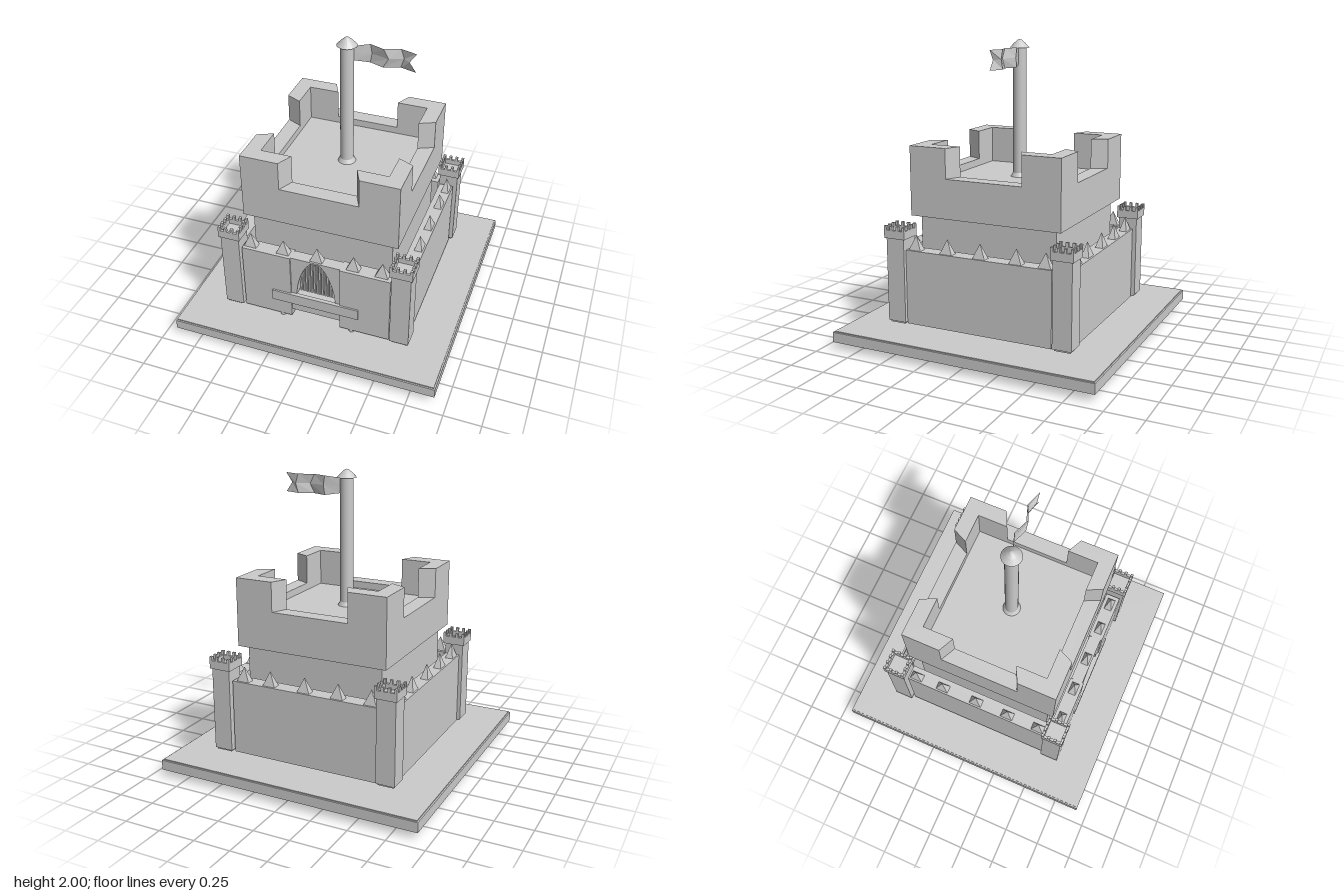
import * as THREE from 'three';

const grey = new THREE.MeshStandardMaterial({ color: 0xcccccc, flatShading: true });
const thin = new THREE.MeshStandardMaterial({ color: 0xcccccc, flatShading: true, side: THREE.DoubleSide });
const smooth = new THREE.MeshStandardMaterial({ color: 0xcccccc });
const green = new THREE.MeshStandardMaterial({ color: 0x4f9a35, flatShading: true });

export function createModel() {
  const root = new THREE.Group();

  const add = (name, geo, mat = grey, parent = root) => {
    const mesh = new THREE.Mesh(geo, mat);
    mesh.name = name;
    parent.add(mesh);
    return mesh;
  };
  // Box given by its lower and upper corners
  const box = (name, a, b, mat = grey, parent = root) => {
    const geo = new THREE.BoxGeometry(b[0] - a[0], b[1] - a[1], b[2] - a[2]);
    geo.translate((a[0] + b[0]) / 2, (a[1] + b[1]) / 2, (a[2] + b[2]) / 2);
    return add(name, geo, mat, parent);
  };
  const polygon = (pts) => new THREE.Shape(pts.map((p) => new THREE.Vector2(...p)));
  const square = (r) => [[-r, -r], [r, -r], [r, r], [-r, r]];
  // Plan shape raised from y0 to y1
  const raise = (shape, y0, y1) =>
    new THREE.ExtrudeGeometry(shape, { depth: y1 - y0, bevelEnabled: false, curveSegments: 12 })
      .rotateX(-Math.PI / 2).translate(0, y0, 0);
  const ring = (outer, inner, y0, y1) => {
    const s = polygon(square(outer));
    s.holes.push(polygon(square(inner)));
    return raise(s, y0, y1);
  };

  // Base: thin tray open underneath, with a square hole in the middle
  add('baseTop', ring(0.91, 0.21, 0.11, 0.125));
  add('baseRim', ring(0.92, 0.905, 0.05, 0.118));
  add('baseCollar', ring(0.25, 0.21, 0.115, 0.16));
  for (const x of [-0.25, 0.25]) for (const z of [0.605, -0.355])
    add('peg', new THREE.CylinderGeometry(0.02, 0.02, 0.11, 16), smooth).position.set(x, 0.095, z);

  // Small mechanism under the hole
  const works = new THREE.Group();
  works.name = 'mechanism';
  root.add(works);
  add('mechanismDisc', new THREE.CylinderGeometry(0.16, 0.17, 0.015, 20), grey, works).position.set(0, 0.043, 0);
  box('mechanismBlock', [-0.12, 0.015, 0.02], [0.06, 0.04, 0.12], grey, works);
  box('mechanismFoot', [-0.19, 0, 0.03], [-0.16, 0.04, 0.07], grey, works);
  const board = polygon([[-0.2, 0.06], [0.2, 0.06], [0.2, 0.12], [0.02, 0.12], [0.02, 0.2], [-0.2, 0.2]]);
  add('circuitBoard', raise(board, 0.017, 0.033), green, works);

  // Keep: body and wider upper storey with a sunken roof
  box('keepBody', [-0.485, 0.15, -0.485], [0.485, 0.87, 0.485]);
  box('keepRoof', [-0.432, 0.867, -0.432], [0.432, 1.08, 0.432]);
  add('parapet', ring(0.535, 0.43, 0.865, 1.13));
  // Corner merlons with flared sides
  const corner = polygon([[0.535, 0.535], [0.27, 0.535], [0.22, 0.43], [0.43, 0.43], [0.43, 0.22], [0.535, 0.27]]);
  const merlonGeo = raise(corner, 1.13, 1.33);
  for (let i = 0; i < 4; i++) add('cornerMerlon', merlonGeo).rotation.y = i * Math.PI / 2;

  // Curtain walls
  for (const s of [-1, 1])
    box('sideWall', [s * 0.585 - 0.05, 0.15, -0.52], [s * 0.585 + 0.05, 0.655, 0.52]);
  box('backWall', [-0.52, 0.15, -0.64], [0.52, 0.655, -0.535]);
  box('frontWallRight', [-0.52, 0.15, 0.53], [-0.175, 0.655, 0.63]);
  box('frontWallLeft', [0.172, 0.15, 0.53], [0.52, 0.655, 0.63]);

  // Gate panel with a pointed arch, bars behind it and a ledge below
  const panel = polygon([[-0.175, 0.2], [0.172, 0.2], [0.172, 0.655], [-0.175, 0.655]]);
  const arch = new THREE.Path();
  arch.moveTo(-0.14, 0.34);
  arch.lineTo(-0.13, 0.42);
  arch.quadraticCurveTo(-0.1, 0.58, -0.03, 0.642);
  arch.lineTo(0.03, 0.642);
  arch.quadraticCurveTo(0.1, 0.58, 0.13, 0.42);
  arch.lineTo(0.14, 0.34);
  panel.holes.push(arch);
  add('gatePanel', new THREE.ExtrudeGeometry(panel, { depth: 0.07, bevelEnabled: false, curveSegments: 8 }))
    .position.z = 0.55;
  box('gateDoor', [-0.172, 0.165, 0.535], [0.17, 0.65, 0.55]);
  for (let i = 0; i < 18; i++) {
    const x = -0.163 + i * 0.019;
    box('gateBar', [x - 0.006, 0.165, 0.545], [x + 0.006, 0.65, 0.565]);
  }
  box('gateLedge', [-0.31, 0.27, 0.615], [0.305, 0.35, 0.642]);

  // Spikes along the wall tops
  const spikeGeo = new THREE.CylinderGeometry(0, Math.SQRT1_2, 1, 4).rotateY(Math.PI / 4);
  const spike = (x, z, w, d) => {
    const m = add('wallSpike', spikeGeo);
    m.position.set(x, 0.703, z);
    m.scale.set(w, 0.1, d);
  };
  for (const x of [-0.47, -0.238, 0, 0.253, 0.45]) {
    spike(x, 0.58, 0.09, 0.055);
    spike(x, -0.6, 0.09, 0.055);
  }
  for (const z of [-0.465, -0.265, -0.01, 0.228, 0.46])
    for (const x of [-0.597, 0.597]) spike(x, z, 0.055, 0.09);

  // Corner towers with crenellated caps
  for (const x of [-0.595, 0.595]) for (const z of [-0.6, 0.585]) {
    const tower = new THREE.Group();
    tower.name = 'cornerTower';
    tower.position.set(x, 0, z);
    root.add(tower);
    box('towerShaft', [-0.065, 0.162, -0.065], [0.065, 0.74, 0.065], grey, tower);
    box('towerFoot', [-0.055, 0.15, -0.055], [0.055, 0.165, 0.055], grey, tower);
    box('towerCapFloor', [-0.065, 0.732, -0.065], [0.065, 0.75, 0.065], grey, tower);
    add('towerCap', ring(0.076, 0.058, 0.73, 0.785), grey, tower);
    for (let i = 0; i < 4; i++) for (let j = 0; j < 4; j++) {
      if (i % 3 && j % 3) continue;
      const tx = -0.067 + i * 0.0447, tz = -0.067 + j * 0.0447;
      box('towerTooth', [tx - 0.009, 0.783, tz - 0.009], [tx + 0.009, 0.813, tz + 0.009], grey, tower);
    }
  }

  // Flagpole with a pointed cap
  add('flagpole', new THREE.CylinderGeometry(0.045, 0.045, 0.88, 24), smooth).position.y = 1.515;
  add('flagpoleFoot', new THREE.CylinderGeometry(0.045, 0.062, 0.03, 24), smooth).position.y = 1.092;
  const capProfile = [[0, 1.945], [0.067, 1.945], [0.035, 1.978], [0.012, 1.997], [0, 2]];
  add('flagpoleCap', new THREE.LatheGeometry(capProfile.map((p) => new THREE.Vector2(...p)), 20), thin);

  // Folded swallow-tailed flag: each column is edge x, middle x, z, bottom, top
  const columns = [
    [0.04, 0.04, -0.01, 1.84, 1.94], [0.14, 0.15, -0.045, 1.825, 1.953], [0.235, 0.27, -0.008, 1.825, 1.953],
    [0.34, 0.36, -0.045, 1.825, 1.953], [0.45, 0.405, -0.01, 1.825, 1.953],
  ];
  const pos = [], idx = [];
  columns.forEach(([xe, xm, z, y0, y1], c) => {
    pos.push(xe, y0, z, xm, (y0 + y1) / 2, z, xe, y1, z);
    if (c) for (let r = 0; r < 2; r++) {
      const b = c * 3 + r, a = b - 3;
      idx.push(a, b, b + 1, a, b + 1, a + 1);
    }
  });
  const flag = new THREE.BufferGeometry();
  flag.setAttribute('position', new THREE.Float32BufferAttribute(pos, 3));
  flag.setIndex(idx);
  flag.computeVertexNormals();
  add('flag', flag, thin);

  return root;
}
